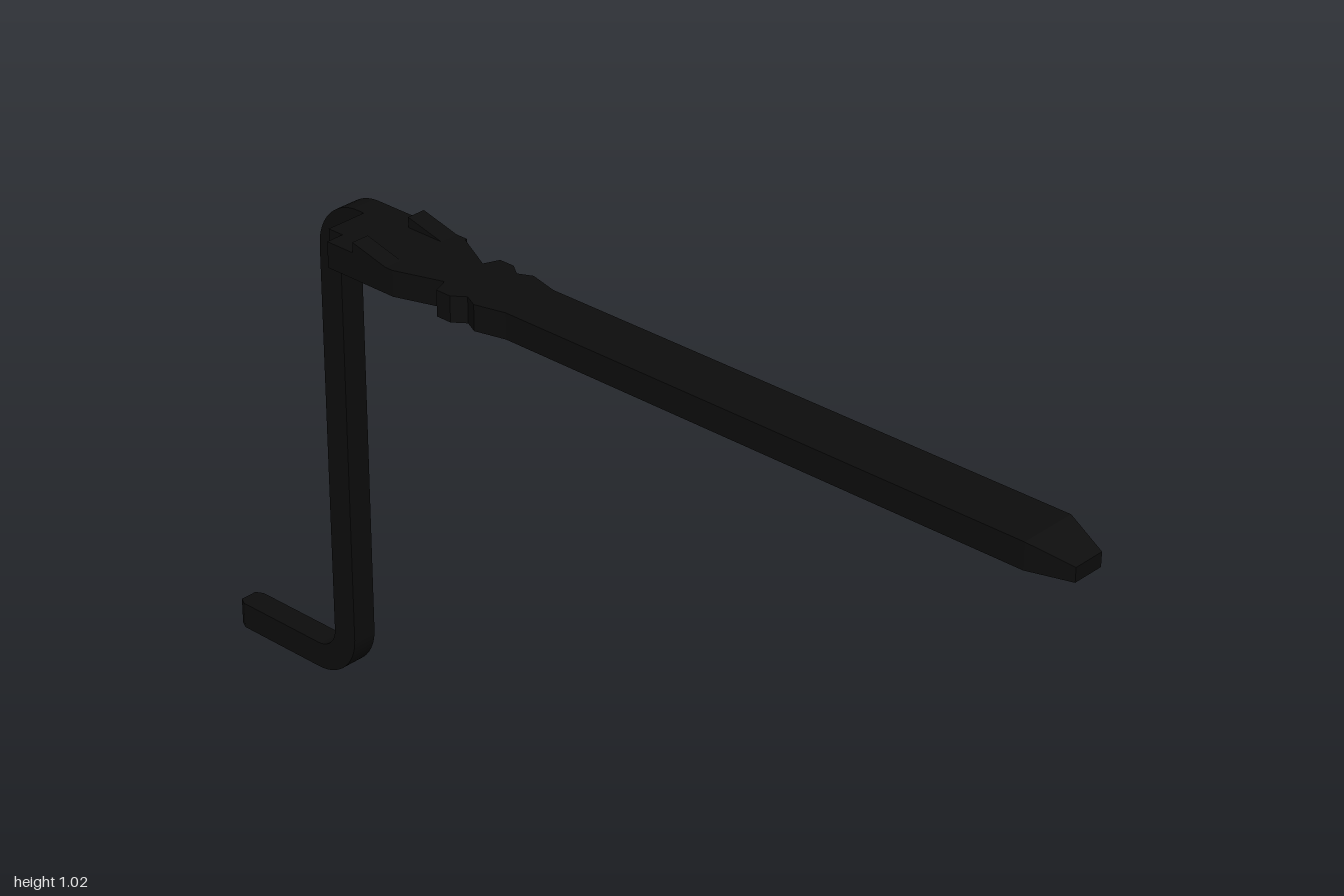
import * as THREE from 'three';

const black = new THREE.MeshStandardMaterial({ color: 0x0d0d0d, flatShading: true });
const tan = new THREE.MeshStandardMaterial({ color: 0xdeb673 });

function addMesh(group, name, geometry, material = black) {
  const mesh = new THREE.Mesh(geometry, material);
  mesh.name = name;
  group.add(mesh);
  return mesh;
}

const polygon = (points) => new THREE.Shape(points.map(([a, b]) => new THREE.Vector2(a, b)));

// Plan outline of [x, z] points, raised from y0 to y1
function plate(points, y0, y1) {
  const shape = polygon(points.map(([x, z]) => [x, -z]));
  return new THREE.ExtrudeGeometry(shape, { depth: y1 - y0, bevelEnabled: false })
    .rotateX(-Math.PI / 2).translate(0, y0, 0);
}

// Side outline of (-z, y) points, extruded along x from x0 to x1
function slab(shape, x0, x1) {
  return new THREE.ExtrudeGeometry(shape, { depth: x1 - x0, bevelEnabled: false, curveSegments: 8 })
    .rotateY(Math.PI / 2).translate(x0, 0, 0);
}

// Z-shaped bar outline with rounded bends; the wedge on top is optional
function crankOutline(withWedge) {
  const s = new THREE.Shape();
  s.moveTo(0.415, 0.95);
  s.lineTo(0.63, 0.95);
  s.absarc(0.635, 0.905, 0.045, Math.PI / 2, 0, true);
  s.lineTo(0.68, 0.1);
  s.absarc(0.78, 0.1, 0.1, Math.PI, Math.PI * 1.5, false);
  s.lineTo(0.985, 0);
  s.lineTo(0.985, 0.053);
  s.lineTo(0.78, 0.053);
  s.absarc(0.78, 0.1, 0.047, Math.PI * 1.5, Math.PI, true);
  s.lineTo(0.733, 0.9);
  s.absarc(0.633, 0.9, 0.1, 0, Math.PI / 2, false);
  if (withWedge) {
    s.lineTo(0.52, 1);
    s.lineTo(0.52, 1.02);
    s.lineTo(0.44, 1);
  }
  s.lineTo(0.415, 1);
  s.closePath();
  return s;
}

export function createModel() {
  const group = new THREE.Group();

  // Long bar, notched neck and broad head as one flat plate
  addMesh(group, 'bladeAndHead', plate([
    [-0.066, 0.92], [0.048, 0.92], [0.048, -0.175], [0.063, -0.235], [0.05, -0.262],
    [0.067, -0.286], [0.067, -0.318], [0.037, -0.33], [0.085, -0.424], [0.034, -0.424],
    [0.034, -0.617], [-0.05, -0.617], [-0.05, -0.583], [-0.086, -0.583], [-0.086, -0.424],
    [-0.055, -0.33], [-0.086, -0.318], [-0.086, -0.286], [-0.068, -0.262], [-0.081, -0.235],
    [-0.066, -0.175],
  ], 0.95, 1));

  // Tip narrows in plan and slopes down on top
  const tip = new THREE.BoxGeometry(0.114, 0.05, 0.08);
  const p = tip.attributes.position;
  for (let i = 0; i < p.count; i++) {
    if (p.getZ(i) < 0) continue;
    p.setX(i, p.getX(i) * 0.56);
    if (p.getY(i) > 0) p.setY(i, 0.002);
  }
  tip.computeVertexNormals();
  addMesh(group, 'bladeTip', tip).position.set(-0.009, 0.975, 0.96);

  // Bent crank and its light-coloured outer face
  addMesh(group, 'crank', slab(crankOutline(false), 0.034, 0.085));
  addMesh(group, 'crankFace',
    new THREE.ShapeGeometry(crankOutline(true), 8).rotateY(Math.PI / 2).translate(0.0858, 0, 0), tan);

  // Chamfered end of the crank foot
  addMesh(group, 'crankEnd', plate([
    [0.034, -0.985], [0.085, -0.985], [0.077, -1], [0.042, -1],
  ], 0, 0.053));

  // Raised wedges on both edges of the head
  for (const [name, x0, x1] of [['leftWedge', 0.047, 0.085], ['rightWedge', -0.086, -0.05]]) {
    addMesh(group, name, slab(polygon([[0.44, 0.998], [0.52, 0.998], [0.52, 1.02], [0.44, 1]]), x0, x1));
  }

  return group;
}
